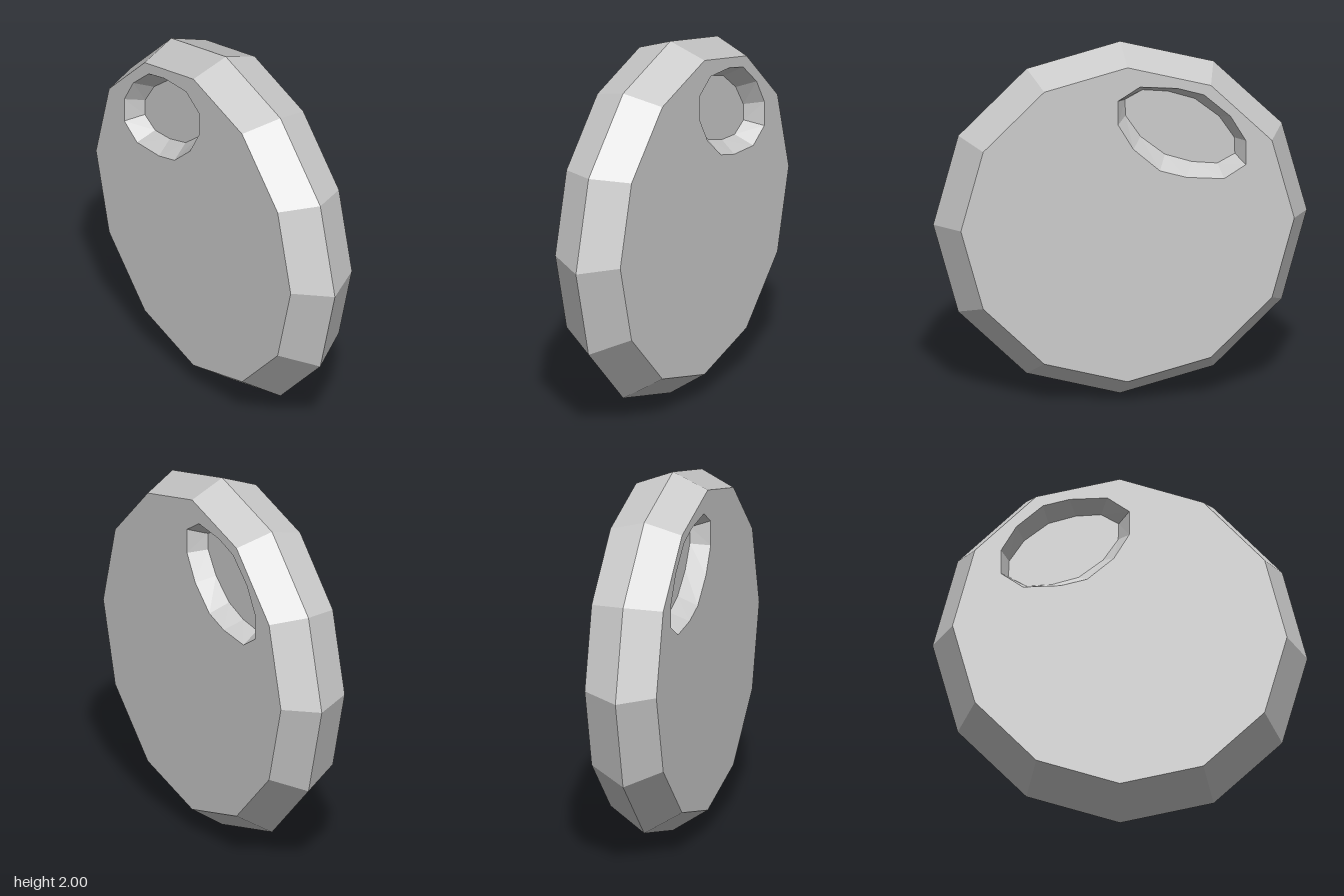
import * as THREE from 'three';

const DEPTH = 0.2;   // half thickness of the disc
const FLOOR = 0.1;   // height of the recess floor from the middle plane
const material = new THREE.MeshStandardMaterial({ color: 0xcccccc, flatShading: true });

// Twelve-sided ring, counter-clockwise
const polygon = (cx, cy, r) => Array.from({ length: 12 }, (_, i) => {
  const a = i * Math.PI / 6;
  return new THREE.Vector2(cx + r * Math.cos(a), cy + r * Math.sin(a));
});

// Tilted oval ring: half the corners are given, the rest are turned by 180 degrees
const oval = (cx, cy, half) => [1, -1].flatMap(s =>
  half.map(([x, y]) => new THREE.Vector2(cx + s * x, cy + s * y)));

// Band of quads between two rings
function band(a, za, b, zb) {
  const n = a.length, pos = [], index = [];
  a.forEach(p => pos.push(p.x, p.y, za));
  b.forEach(p => pos.push(p.x, p.y, zb));
  for (let i = 0; i < n; i++) {
    const j = (i + 1) % n;
    index.push(i, j, n + j, i, n + j, n + i);
  }
  const g = new THREE.BufferGeometry();
  g.setAttribute('position', new THREE.Float32BufferAttribute(pos, 3));
  g.setIndex(index);
  return g;
}

// Flat plate with an optional hole
function plate(ring, z, hole) {
  const shape = new THREE.Shape(ring);
  if (hole) shape.holes.push(new THREE.Path(hole));
  return new THREE.ShapeGeometry(shape).translate(0, 0, z);
}

export function createModel() {
  const model = new THREE.Group();
  model.name = 'disc';

  const rim = polygon(0, 1, 1);
  const face = polygon(-0.0175, 1.03, 0.8925);
  const mouth = oval(-0.309, 1.54, [
    [-0.024, -0.254], [0.118, -0.211], [0.26, -0.083], [0.342, 0.059], [0.342, 0.195], [0.225, 0.27]]);
  const floor = oval(-0.309, 1.54, [
    [-0.064, -0.203], [0.08, -0.155], [0.211, -0.048], [0.291, 0.075], [0.294, 0.166], [0.2, 0.217]]);

  // Front half, then its mirror image at the back
  for (const side of [1, -1]) {
    const half = new THREE.Group();
    half.name = side > 0 ? 'frontHalf' : 'backHalf';
    const parts = {
      bevelledRim: band(rim, 0, face, DEPTH),
      face: plate(face, DEPTH, mouth),
      recessWall: band(mouth, DEPTH, floor, FLOOR),
      recessFloor: plate(floor, FLOOR),
    };
    for (const [name, geometry] of Object.entries(parts)) {
      if (side < 0) {
        geometry.scale(1, 1, -1);
        geometry.setIndex(Array.from(geometry.index.array).reverse());
      }
      const flat = geometry.toNonIndexed();
      flat.computeVertexNormals();
      const mesh = new THREE.Mesh(flat, material);
      mesh.name = name;
      half.add(mesh);
    }
    model.add(half);
  }
  return model;
}
